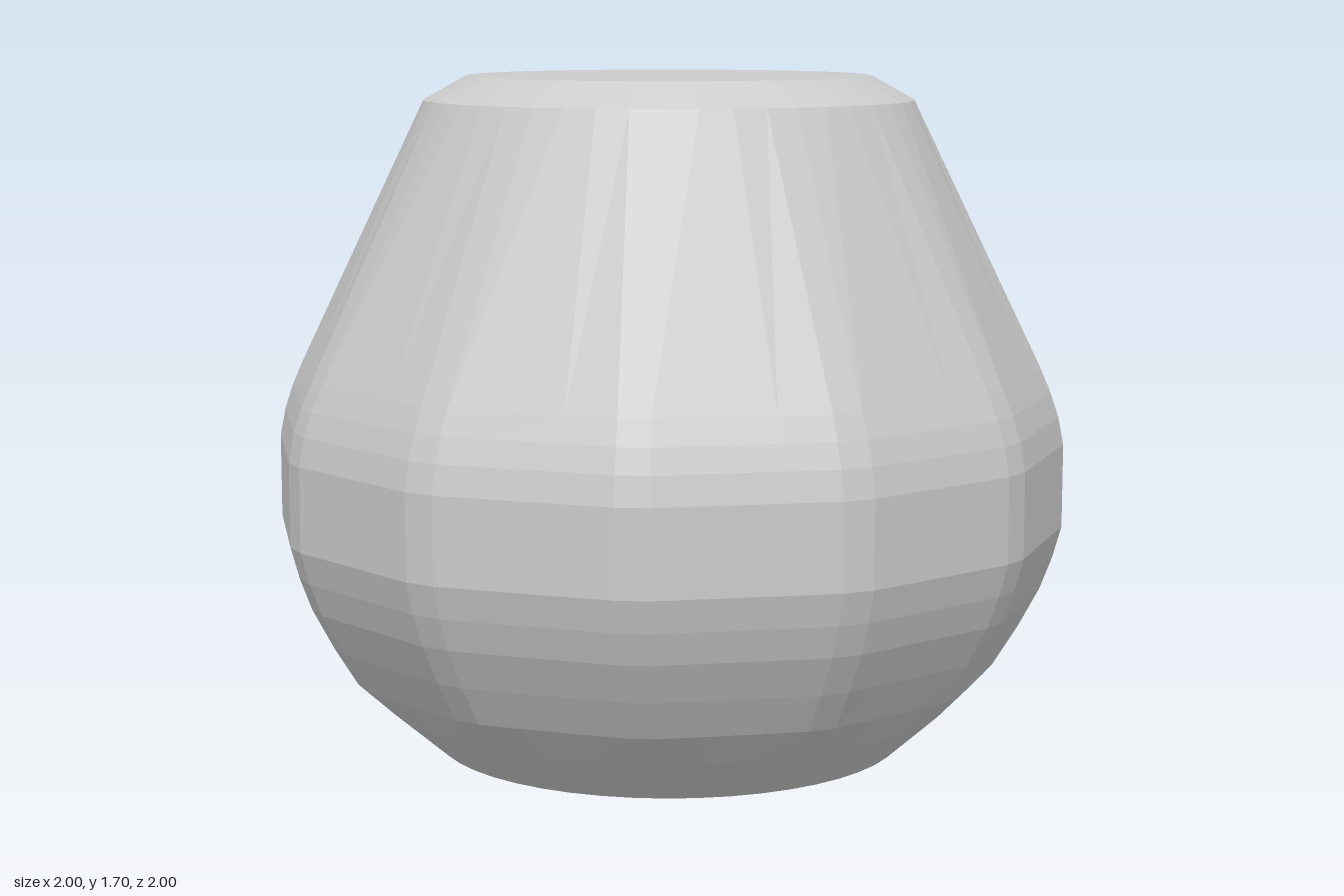
import * as THREE from 'three';

// Rings from bottom to top: height, radius, roundness (0 = twelve-sided, 1 = circular)
const RINGS = [
  [0, 0.597, 1], [0.12, 0.735, 0.7], [0.21, 0.833, 0.1], [0.31, 0.895, 0],
  [0.41, 0.948, 0], [0.49, 0.978, 0], [0.57, 1, 0], [0.78, 1, 0],
  [0.85, 0.986, 0], [0.91, 0.966, 0], [0.97, 0.94, 0], [1.64, 0.616, 1], [1.7, 0.508, 1],
];
const SIDES = 12;
const BEVEL = 2.3; // half angle of each narrow bevelled corner, in degrees
const OFFSETS = [-10, -BEVEL, BEVEL, 10];
const rad = THREE.MathUtils.degToRad;

// Points round one ring: narrow corners joined by flat sides, blended towards a circle
function ringPoints([y, radius, roundness]) {
  const points = [];
  for (let side = 0; side < SIDES; side++) {
    for (const offset of OFFSETS) {
      const flat = radius * Math.cos(rad(15 - BEVEL)) / Math.cos(rad(15 - Math.abs(offset)));
      const r = THREE.MathUtils.lerp(flat, radius, roundness);
      // Spread the corner points evenly where the ring is circular
      const spread = Math.sign(offset) * THREE.MathUtils.lerp(Math.abs(offset), Math.abs(offset) > 5 ? 11.25 : 3.75, roundness);
      const a = rad(side * 30 + spread);
      points.push(new THREE.Vector3(r * Math.sin(a), y, r * Math.cos(a)));
    }
  }
  return points;
}

function loftGeometry(rings) {
  const count = SIDES * OFFSETS.length;
  const positions = rings.flatMap(ringPoints).flatMap((p) => p.toArray());
  const index = [];
  for (let i = 0; i < rings.length - 1; i++) {
    for (let j = 0; j < count; j++) {
      const a = i * count + j, b = i * count + (j + 1) % count;
      index.push(a, b, b + count, a, b + count, a + count);
    }
  }
  // Flat bottom and top
  const top = (rings.length - 1) * count;
  for (let j = 1; j < count - 1; j++) {
    index.push(0, j + 1, j, top, top + j, top + j + 1);
  }
  const geometry = new THREE.BufferGeometry();
  geometry.setAttribute('position', new THREE.Float32BufferAttribute(positions, 3));
  geometry.setIndex(index);
  geometry.computeVertexNormals();
  return geometry;
}

export function createModel() {
  const group = new THREE.Group();
  group.name = 'facetedPot';
  const material = new THREE.MeshStandardMaterial({ color: 0xcccccc, flatShading: true });
  const body = new THREE.Mesh(loftGeometry(RINGS), material);
  body.name = 'body';
  group.add(body);
  return group;
}
